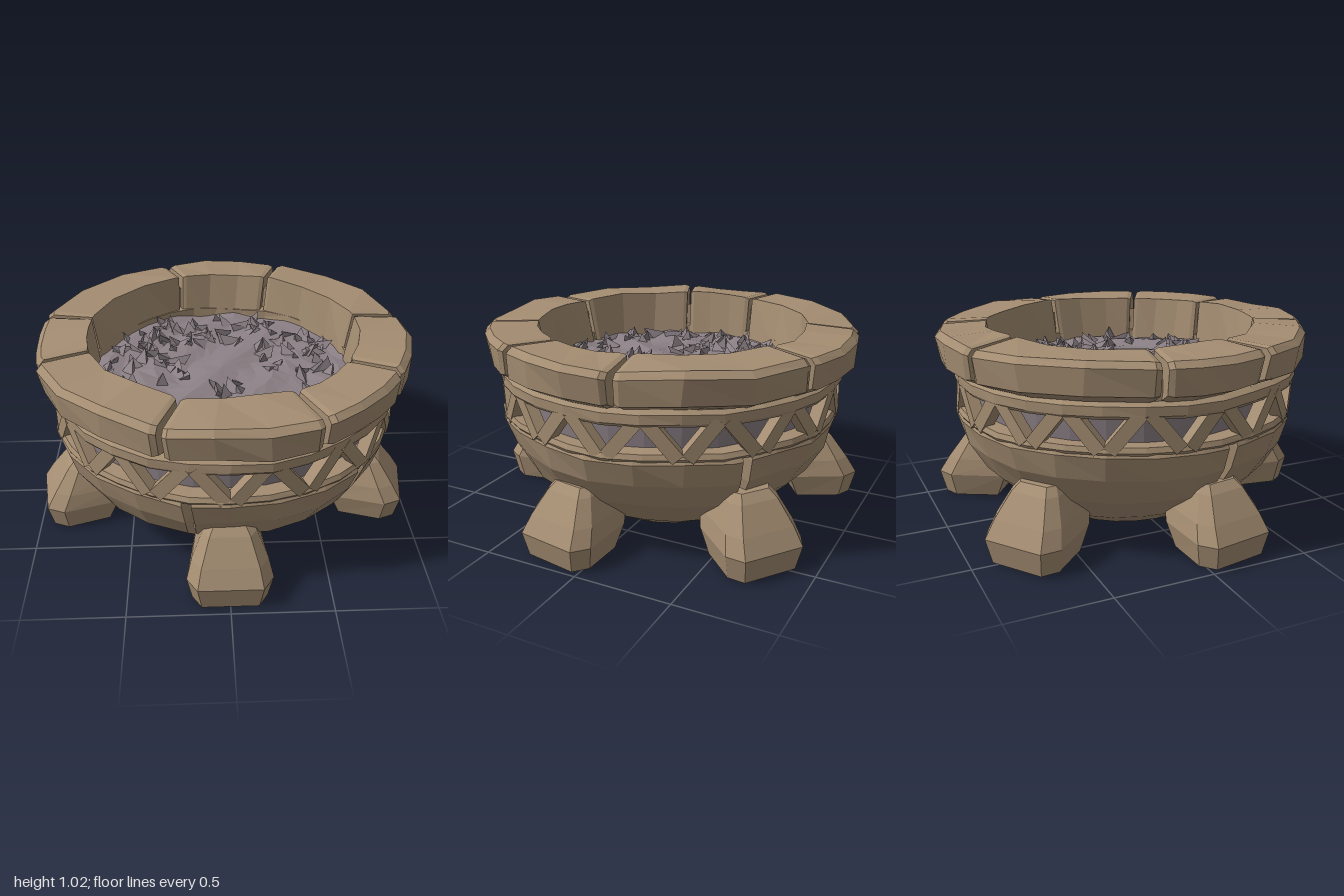
import * as THREE from 'three';
import { mergeGeometries } from 'three/addons/utils/BufferGeometryUtils.js';

const D = Math.PI / 180;

function seeded(seed) {
  return () => {
    seed = (seed * 16807) % 2147483647;
    return seed / 2147483647;
  };
}

// Smooth bumps so that seams stay closed
function roughen(geo, amp, f = 1) {
  const p = geo.attributes.position;
  for (let i = 0; i < p.count; i++) {
    const x = p.getX(i) * f, y = p.getY(i) * f, z = p.getZ(i) * f;
    p.setXYZ(i,
      p.getX(i) + amp * Math.sin(9 * z + 13 * y + 1),
      p.getY(i) + amp * Math.sin(11 * x + 7 * z + 2),
      p.getZ(i) + amp * Math.sin(10 * x - 12 * y + 3));
  }
  geo.computeVertexNormals();
  return geo;
}

// Skin over a row of equal-length loops, capped or joined end to end
function loft(sections, wrap = false) {
  const n = sections[0].length, m = sections.length, pos = [], idx = [];
  sections.forEach(s => s.forEach(v => pos.push(v[0], v[1], v[2])));
  for (let s = 0; s < (wrap ? m : m - 1); s++) {
    const a = s * n, b = ((s + 1) % m) * n;
    for (let i = 0; i < n; i++) {
      const j = (i + 1) % n;
      idx.push(a + i, a + j, b + j, a + i, b + j, b + i);
    }
  }
  if (!wrap) {
    const e = (m - 1) * n;
    for (let i = 1; i < n - 1; i++) idx.push(0, i + 1, i, e, e + i, e + i + 1);
  }
  const g = new THREE.BufferGeometry();
  g.setAttribute('position', new THREE.Float32BufferAttribute(pos, 3));
  g.setIndex(idx);
  g.computeVertexNormals();
  return g;
}

const polar = (r, y, a) => [r * Math.cos(a), y, r * Math.sin(a)];
const lathe = (pts, n) => new THREE.LatheGeometry(pts.map(p => new THREE.Vector2(...p)), n);

// Bowl with cracks running down from the rim
function bowlGeometry() {
  const profile = [[0.005, 0], [0.2, 0.003], [0.42, 0.03], [0.6, 0.13], [0.77, 0.29], [0.855, 0.43], [0.89, 0.55],
    [0.875, 0.58], [0.62, 0.58], [0.005, 0.5]];
  const cracks = [103, 44.5, -50, 170];
  const columns = [];
  for (let a = -180; a < 180; a += 15) {
    if (cracks.every(c => Math.abs(a - c) > 4)) columns.push([a, 0]);
  }
  cracks.forEach(c => columns.push([c - 1.5, 0], [c, 0.08], [c + 1.5, 0]));
  columns.sort((p, q) => p[0] - q[0]);
  return loft(columns.map(([a, cut]) => profile.map(([r, y], i) => {
    const fade = i < 8 ? Math.min(1, Math.max(0, (y - 0.1) / 0.3)) : 0;
    return polar(r - cut * fade, y, a * D);
  })), true);
}

// One curved rim stone between two angles
function rimBlock(a0, a1, reach) {
  const profile = [[0.665, 0.76], [0.87, 0.81], [0.94, 0.845], [0.955, 0.97], [0.925, 1.0], [0.7, 1.008]];
  const gap = 0.016, bevel = 0.045;
  const stops = [a0 + gap, a0 + bevel, a0 + (a1 - a0) * 0.35, a0 + (a1 - a0) * 0.67, a1 - bevel, a1 - gap];
  return loft(stops.map((a, i) => {
    const k = i === 0 || i === 5 ? 0.92 : 1;
    return profile.map(([r, y]) => {
      const rr = r > 0.8 ? r + reach : r;
      return polar(0.81 + (rr - 0.81) * k, 0.91 + (y - 0.91) * k, a);
    });
  }));
}

// Stubby foot leaning against the bowl, pointing to +z
function footGeometry() {
  const rows = [[0, 0.66, 0.955, 0.185], [0.13, 0.61, 0.98, 0.21], [0.22, 0.57, 0.93, 0.185],
    [0.345, 0.55, 0.85, 0.13], [0.385, 0.6, 0.81, 0.1]];
  return loft(rows.map(([y, z0, z1, w]) => {
    const c = w * 0.25, b = w * 0.82;
    return [[-b, y, z0], [-w, y, z1 - c * 1.6], [-w + c, y, z1], [w - c, y, z1], [w, y, z1 - c * 1.6], [b, y, z0]];
  }));
}

export function createModel() {
  const stone = new THREE.MeshStandardMaterial({ color: 0xa48d72, flatShading: true });
  stone.name = 'sandstone';
  const ash = new THREE.MeshStandardMaterial({ color: 0x8b8085, flatShading: true });
  ash.name = 'grey ash';

  const model = new THREE.Group();
  model.name = 'stoneFirePit';
  const add = (name, geo, mat, parent = model) => {
    const mesh = new THREE.Mesh(geo, mat);
    mesh.name = name;
    parent.add(mesh);
    return mesh;
  };
  const addGroup = name => {
    const g = new THREE.Group();
    g.name = name;
    model.add(g);
    return g;
  };

  add('bowl', roughen(bowlGeometry(), 0.006), stone);

  // Feet: one in front, two at the sides, two behind
  const feet = addGroup('feet');
  [[0, 1, 1], [80, 1.012, 0.93], [-80, 1.012, 0.93], [144, 1.05, 0.96], [-144, 1.05, 0.96]].forEach(([deg, out, high]) => {
    const foot = add('foot', footGeometry(), stone, feet);
    foot.rotation.y = deg * D;
    foot.scale.set(1, high, out);
  });

  // Lattice band: two rails and slanted struts in front of the ash
  const band = addGroup('latticeBand');
  add('lowerRail', roughen(lathe([[0.78, 0.56], [0.88, 0.56], [0.89, 0.575], [0.88, 0.6], [0.78, 0.6], [0.78, 0.56]], 30), 0.005), stone, band);
  add('upperRail', roughen(lathe([[0.68, 0.73], [0.885, 0.73], [0.895, 0.745], [0.895, 0.79], [0.87, 0.808], [0.68, 0.808], [0.68, 0.73]], 30), 0.005), stone, band);
  add('ashWall', new THREE.CylinderGeometry(0.82, 0.8, 0.19, 30, 1, true).translate(0, 0.67, 0), ash, band);
  const teeth = 15, step = Math.PI / teeth;
  for (let i = 0; i < teeth * 2; i++) {
    const a = Math.PI / 2 + i * step, up = i % 2 === 0;
    const p = new THREE.Vector3(...polar(0.86, up ? 0.58 : 0.755, a + 0.022));
    const q = new THREE.Vector3(...polar(0.86, up ? 0.755 : 0.58, a + step - 0.022));
    const along = q.clone().sub(p), length = along.length();
    along.normalize();
    const out = new THREE.Vector3(...polar(1, 0, a + step / 2));
    const side = new THREE.Vector3().crossVectors(along, out).normalize();
    out.crossVectors(side, along);
    const strut = add('strut', new THREE.BoxGeometry(0.066, length, 0.06), stone, band);
    strut.quaternion.setFromRotationMatrix(new THREE.Matrix4().makeBasis(side, along, out));
    strut.position.copy(p).add(q).multiplyScalar(0.5);
  }

  // Rim stones around a hidden core
  const rim = addGroup('rim');
  rim.position.z = -0.015;
  add('rimCore', lathe([[0.72, 0.7], [0.76, 0.7], [0.86, 0.79], [0.86, 0.9], [0.73, 0.93], [0.72, 0.7]], 32), stone, rim);
  const gaps = [-108.6, -67.6, -9.9, 29.8, 64.3, 109, 161, 193.3, 251.4];
  const reach = [0.005, 0.005, 0.01, 0.015, 0.02, 0.01, 0, 0.005];
  reach.forEach((r, i) => add('rimStone', roughen(rimBlock(gaps[i] * D, gaps[i + 1] * D, r), 0.008), stone, rim));

  // Ash bed
  const bed = new THREE.RingGeometry(0.001, 0.71, 26, 8).rotateX(-Math.PI / 2).translate(0, 0.77, 0);
  add('ashBed', roughen(bed, 0.014, 1.7), ash);

  // Broken shards, thickest along the edge and in a few clumps
  const rand = seeded(71);
  const clumps = [[-0.32, -0.12], [0, -0.32], [0.3, 0], [0, 0.24], [-0.26, 0.03], [0.28, -0.25], [0.12, 0.4], [-0.15, -0.3]];
  const shards = [];
  for (let i = 0; i < 150; i++) {
    let x, z;
    if (i < 95) {
      const a = rand() * Math.PI * 2, r = 0.47 + 0.17 * rand();
      [x, , z] = polar(r, 0, a);
    } else {
      const c = clumps[i % clumps.length];
      x = c[0] + (rand() - 0.5) * 0.22;
      z = c[1] + (rand() - 0.5) * 0.22;
    }
    const size = 0.045 + 0.035 * rand();
    shards.push(new THREE.ConeGeometry(size, size * 1.6, 3)
      .scale(1, 1, 0.75)
      .rotateX((rand() - 0.5) * 1.6)
      .rotateZ((rand() - 0.5) * 1.6)
      .rotateY(rand() * 6.3)
      .translate(x, 0.775, z));
  }
  add('ashShards', mergeGeometries(shards), ash);

  return model;
}
